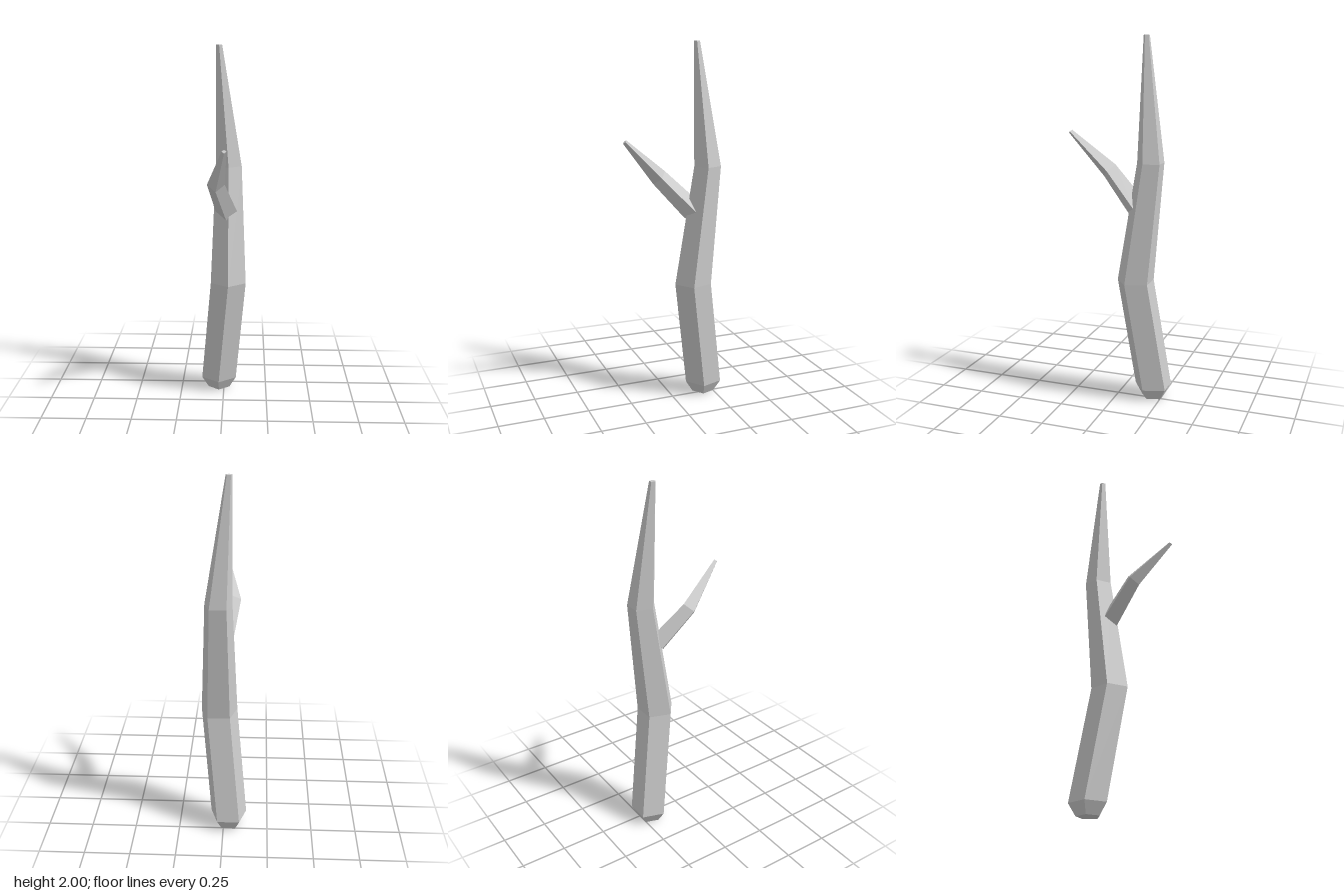
import * as THREE from 'three';

// Faceted limb: polygon rings [x, y, z, radius] joined in order, capped at both ends.
// The ring plane is spanned by +x and the direction "forward".
function limb(name, sides, forward, rings, material) {
  const side = new THREE.Vector3(1, 0, 0);
  const corner = ([x, y, z, r], i) => {
    const a = (i / sides) * Math.PI * 2;
    return new THREE.Vector3(x, y, z)
      .addScaledVector(side, r * Math.sin(a))
      .addScaledVector(forward, r * Math.cos(a));
  };
  const points = [];
  const first = rings[0], last = rings[rings.length - 1];
  for (let i = 0; i < sides; i++) {
    const j = (i + 1) % sides;
    for (let k = 0; k < rings.length - 1; k++) {
      const a = corner(rings[k], i), b = corner(rings[k], j);
      const c = corner(rings[k + 1], j), d = corner(rings[k + 1], i);
      points.push(a, b, c, a, c, d);
    }
    // end caps
    points.push(new THREE.Vector3(...first.slice(0, 3)), corner(first, j), corner(first, i));
    points.push(new THREE.Vector3(...last.slice(0, 3)), corner(last, i), corner(last, j));
  }
  const geometry = new THREE.BufferGeometry().setFromPoints(points);
  geometry.computeVertexNormals();
  const mesh = new THREE.Mesh(geometry, material);
  mesh.name = name;
  return mesh;
}

export function createModel() {
  const group = new THREE.Group();
  group.name = 'bareTree';
  const bark = new THREE.MeshStandardMaterial({ color: 0xcccccc, flatShading: true });

  // Five-sided trunk, bending as it rises to a thin tip
  group.add(limb('trunk', 5, new THREE.Vector3(0, 0, 1), [
    [-0.029, 0, -0.2, 0.065],
    [-0.029, 0.065, -0.2, 0.105],
    [0.027, 0.685, -0.11, 0.104],
    [0.027, 1.34, -0.191, 0.076],
    [-0.025, 2, -0.147, 0.017],
  ], bark));

  // Four-sided branch rising forward at 45 degrees
  group.add(limb('branch', 4, new THREE.Vector3(0, -1, 1).normalize(), [
    [0.015, 1.095, -0.11, 0.06],
    [-0.037, 1.28, 0.064, 0.0475],
    [0.0125, 1.49, 0.272, 0.0125],
  ], bark));

  return group;
}
